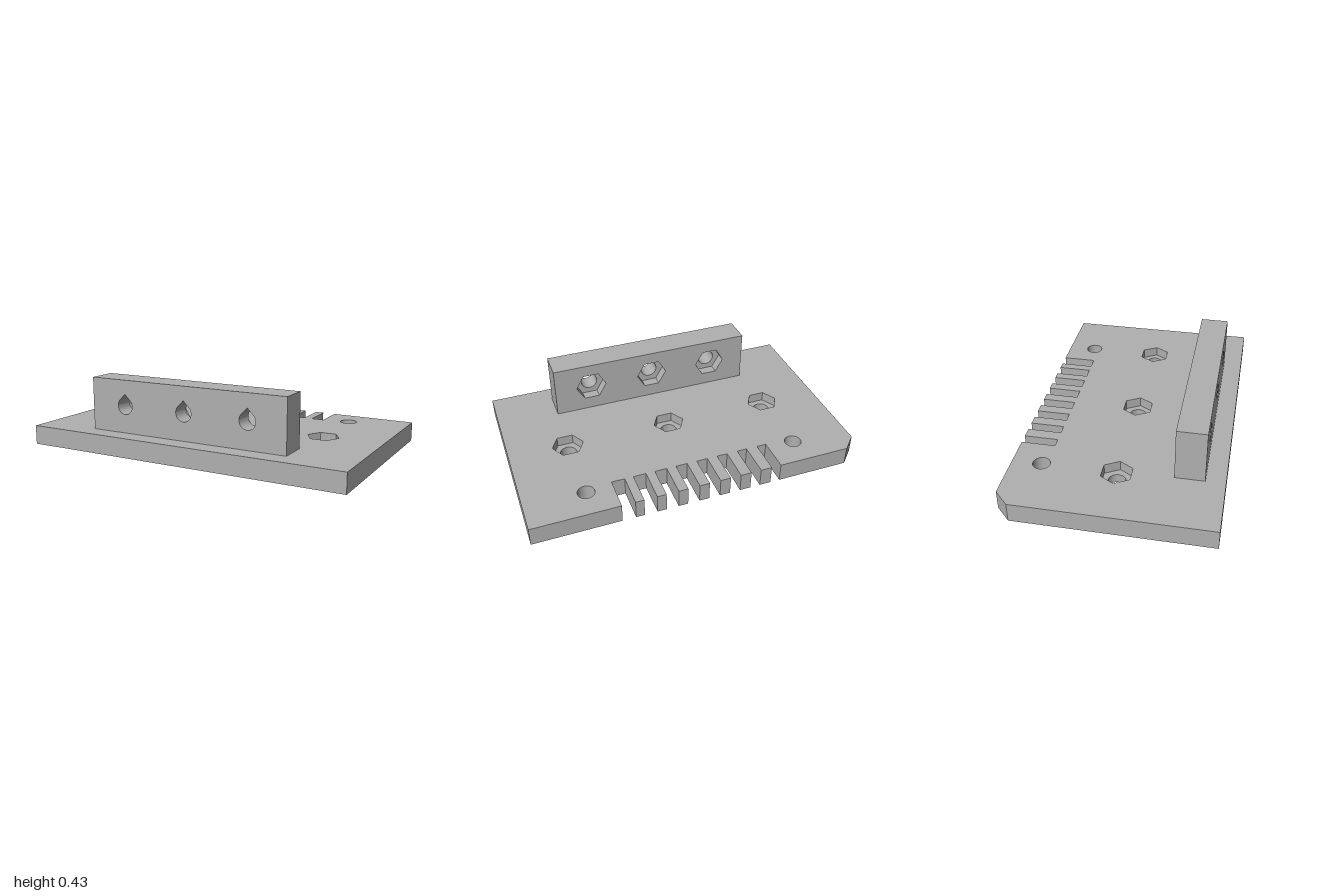
import * as THREE from 'three';
import { mergeGeometries, toCreasedNormals } from 'three/addons/utils/BufferGeometryUtils.js';

const V = (x, y) => new THREE.Vector2(x, y);

// Counter-clockwise outlines
const ring = (cx, cy, r, n) => Array.from({ length: n }, (_, i) => {
  const a = (i / n) * Math.PI * 2;
  return V(cx + r * Math.cos(a), cy + r * Math.sin(a));
});
const circle = (cx, cy) => ring(cx, cy, 0.05, 40);
const hexagon = (cx, cy) => ring(cx, cy, 0.095, 6);

// Round below, closing to a 90 degree point on top
function teardrop(cx, cy, r = 0.05) {
  const pts = [V(cx, cy + r * Math.SQRT2)];
  for (let i = 0; i <= 30; i++) {
    const a = Math.PI * (0.75 + (1.5 * i) / 30);
    pts.push(V(cx + r * Math.cos(a), cy + r * Math.sin(a)));
  }
  return pts;
}

// Flat face with holes at height z
function face(outline, holes, z, faceDown = false) {
  const shape = new THREE.Shape(outline);
  shape.holes = holes.map((h) => new THREE.Path(h));
  const geo = new THREE.ShapeGeometry(shape).translate(0, 0, z);
  if (faceDown) geo.index.array.reverse();
  const flat = geo.toNonIndexed();
  flat.deleteAttribute('uv');
  flat.deleteAttribute('normal');
  return flat;
}

// Upright wall along an outline; inward walls line a hole
function wall(outline, z0, z1, inward = false) {
  const pts = inward ? [...outline].reverse() : outline;
  const pos = [];
  pts.forEach((p, i) => {
    const q = pts[(i + 1) % pts.length];
    pos.push(p.x, p.y, z0, q.x, q.y, z0, q.x, q.y, z1);
    pos.push(p.x, p.y, z0, q.x, q.y, z1, p.x, p.y, z1);
  });
  const geo = new THREE.BufferGeometry();
  geo.setAttribute('position', new THREE.Float32BufferAttribute(pos, 3));
  return geo;
}

// Slab along z with through holes, some widening to a nut pocket at the top
function slab(outline, holes, thickness, pocketDepth) {
  const floor = thickness - pocketDepth;
  const parts = [
    wall(outline, 0, thickness),
    face(outline, holes.map((h) => h.bore), 0, true),
    face(outline, holes.map((h) => h.pocket ?? h.bore), thickness),
  ];
  for (const { bore, pocket } of holes) {
    parts.push(wall(bore, 0, pocket ? floor : thickness, true));
    if (pocket) parts.push(wall(pocket, floor, thickness, true), face(pocket, [bore], floor));
  }
  return toCreasedNormals(mergeGeometries(parts), 0.5);
}

export function createModel() {
  const group = new THREE.Group();
  const grey = new THREE.MeshStandardMaterial({ color: 0xb0b0b0 });
  grey.name = 'grey';
  const thickness = 0.115;

  // Base plate: one clipped corner, and a comb of slots that widen towards +x
  const outline = [V(-1, -0.6), V(1, -0.6), V(1, 0.6)];
  for (let i = 7; i >= 0; i--) {
    const x = 0.128 * (i - 3.5);
    const w = (0.058 + (0.02 * i) / 7) / 2;
    outline.push(V(x + w, 0.6), V(x + w, 0.4), V(x - w, 0.4), V(x - w, 0.6));
  }
  outline.push(V(-0.915, 0.6), V(-1, 0.515));

  const plateHoles = [-0.643, 0.643].map((x) => ({ bore: circle(x, 0.43) }));
  for (const x of [-0.643, 0, 0.643]) {
    plateHoles.push({ bore: circle(x, 0), pocket: hexagon(x, 0) });
  }
  const plate = new THREE.Mesh(slab(outline, plateHoles, thickness, 0.06), grey);
  plate.name = 'basePlate';
  plate.rotation.x = -Math.PI / 2;
  group.add(plate);

  // Upright bar: teardrop bores with nut pockets on the back
  const top = 0.43;
  const barOutline = [V(-0.63, thickness), V(0.63, thickness), V(0.63, top), V(-0.63, top)];
  const barHoles = [-0.4, 0, 0.4].map((x) => ({
    bore: teardrop(x, 0.276),
    pocket: hexagon(x, 0.276),
  }));
  const bar = new THREE.Mesh(slab(barOutline, barHoles, 0.17, 0.06), grey);
  bar.name = 'uprightBar';
  bar.rotation.y = Math.PI;
  bar.position.z = 0.487;
  group.add(bar);

  return group;
}
